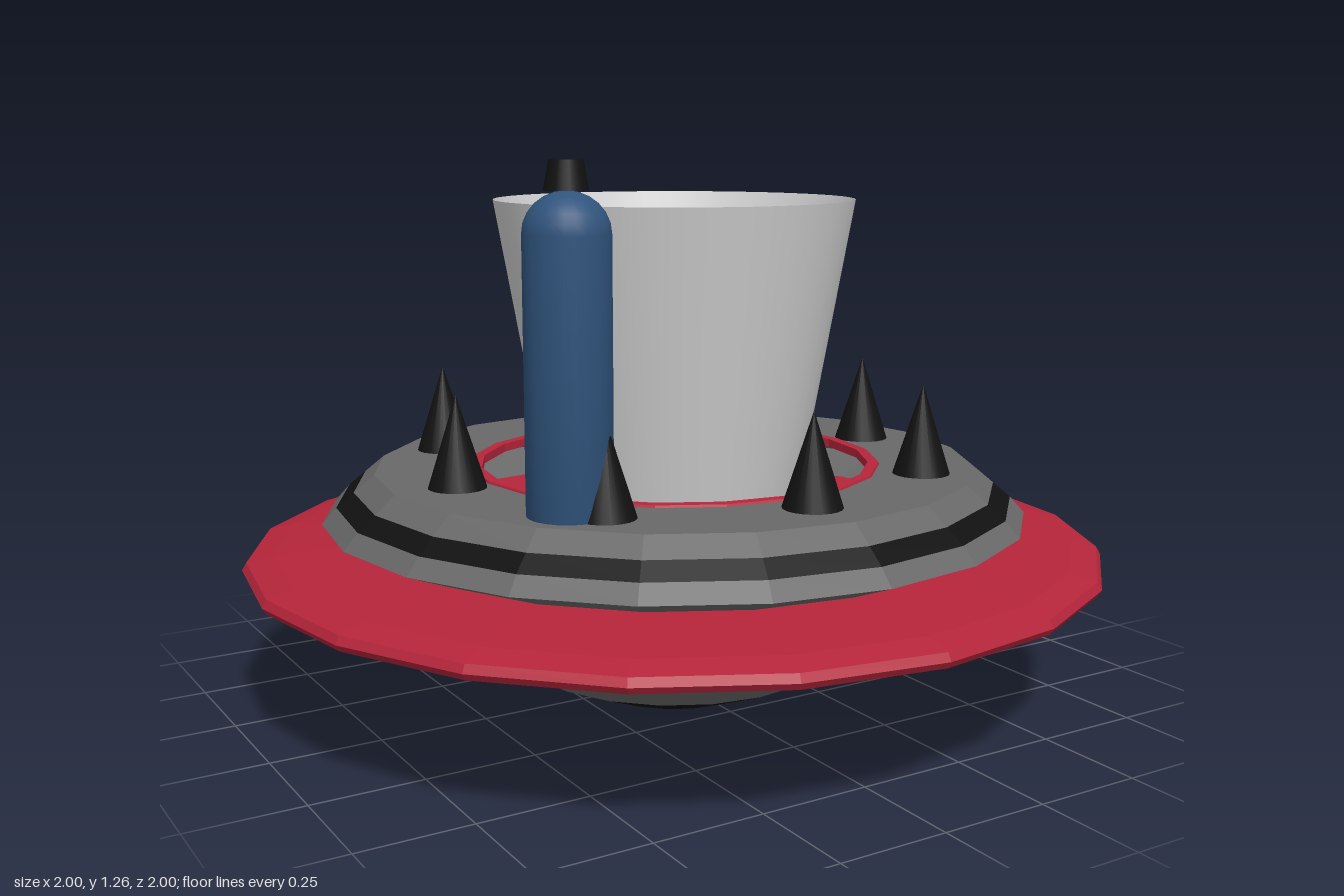
import * as THREE from 'three';

const mat = (name, color) => {
  const m = new THREE.MeshStandardMaterial({ color, side: THREE.DoubleSide });
  m.name = name;
  return m;
};

export function createModel() {
  const red = mat('red', 0xb5253a);
  const grey = mat('hull grey', 0x696969);
  const black = mat('black', 0x111111);
  const silver = mat('cup silver', 0xcfcfcf);
  const brown = mat('drink brown', 0x8c6b47);
  const blue = mat('bottle blue', 0x30547d);
  const glow = mat('lens cyan', 0x88dde4);

  const model = new THREE.Group();
  model.name = 'saucerWithCup';

  const add = (name, geometry, material, x = 0, y = 0, z = 0, parent = model) => {
    const mesh = new THREE.Mesh(geometry, material);
    mesh.name = name;
    mesh.position.set(x, y, z);
    parent.add(mesh);
    return mesh;
  };
  const lathe = (pts, sides) =>
    new THREE.LatheGeometry(pts.map(([r, y]) => new THREE.Vector2(r, y)), sides);
  // Twenty-sided faceted ring from a radius/height profile
  const faceted = (name, material, pts) => {
    const g = lathe(pts, 20).toNonIndexed();
    g.computeVertexNormals();
    return add(name, g, material);
  };

  // Lower hull with its recessed lens
  faceted('base', black, [[0.2, 0], [0.37, 0.072]]);
  add('lensWall', new THREE.CylinderGeometry(0.2, 0.2, 0.045, 20, 1, true), silver, 0, 0.0225, 0);
  add('lens', new THREE.CircleGeometry(0.2, 20), glow, 0, 0.045, 0).rotation.x = Math.PI / 2;
  faceted('lowerHull', grey, [[0.37, 0.072], [0.63, 0.283]]);
  faceted('hullSeal', black, [[0.63, 0.283], [0.687, 0.285]]);

  // Wide rim
  faceted('rim', red, [[0.687, 0.285], [0.95, 0.312], [0.99, 0.325], [1, 0.34],
    [0.99, 0.357], [0.93, 0.371], [0.7, 0.388], [0.5, 0.388]]);
  faceted('innerSeal', black, [[0.5, 0.388], [0.43, 0.388]]);
  faceted('floor', grey, [[0.43, 0.388], [0, 0.388]]);

  // Upper deck with a dark band and a trimmed opening
  faceted('deckSkirt', grey, [[0.7, 0.388], [0.82, 0.436], [0.787, 0.473]]);
  faceted('deckBand', black, [[0.787, 0.473], [0.747, 0.506]]);
  faceted('deck', grey, [[0.747, 0.506], [0.7, 0.545], [0.48, 0.545]]);
  faceted('openingTrim', red, [[0.482, 0.545], [0.48, 0.55], [0.455, 0.55], [0.455, 0.53]]);

  // Cup: tapered outer wall, steeper inner wall, drink
  add('cupWall', lathe([[0.279, 0.392], [0.415, 1.16]], 48), silver);
  add('cupLining', lathe([[0.415, 1.16], [0.36, 1.035]], 48), silver);
  add('drink', new THREE.CircleGeometry(0.361, 48), brown, 0, 1.037, 0).rotation.x = -Math.PI / 2;

  // Ring of spikes
  for (let i = 0; i < 8; i++) {
    const a = (i * Math.PI) / 4;
    const r = i % 2 ? 0.58 : 0.555;
    add('spike', new THREE.ConeGeometry(0.065, 0.205, 20), black,
      r * Math.sin(a), 0.6475, r * Math.cos(a));
  }

  // Bottle standing on the deck
  const bottle = new THREE.Group();
  bottle.name = 'bottle';
  bottle.position.set(-0.46, 0.545, 0.35);
  model.add(bottle);
  const profile = [[0, 0], [0.09, 0], [0.09, 0.57]];
  for (let i = 1; i <= 6; i++) {
    const a = (i * Math.PI) / 12;
    profile.push([0.09 * Math.cos(a), 0.57 + 0.085 * Math.sin(a)]);
  }
  add('bottleBody', lathe(profile, 24), blue, 0, 0, 0, bottle);
  add('bottleCap', new THREE.CylinderGeometry(0.035, 0.046, 0.06, 20), black, 0, 0.685, 0, bottle);

  // Porthole rings lying on the sloped hull
  for (const deg of [0, 127]) {
    const a = THREE.MathUtils.degToRad(deg);
    const c = Math.cos(a), s = -Math.sin(a);
    const ring = add('portholeRing', new THREE.TorusGeometry(0.06, 0.028, 12, 28), red,
      0.545 * c, 0.215, 0.545 * s);
    const normal = new THREE.Vector3(0.63 * c, -0.777, 0.63 * s).normalize();
    ring.quaternion.setFromUnitVectors(new THREE.Vector3(0, 0, 1), normal);
  }
  return model;
}
